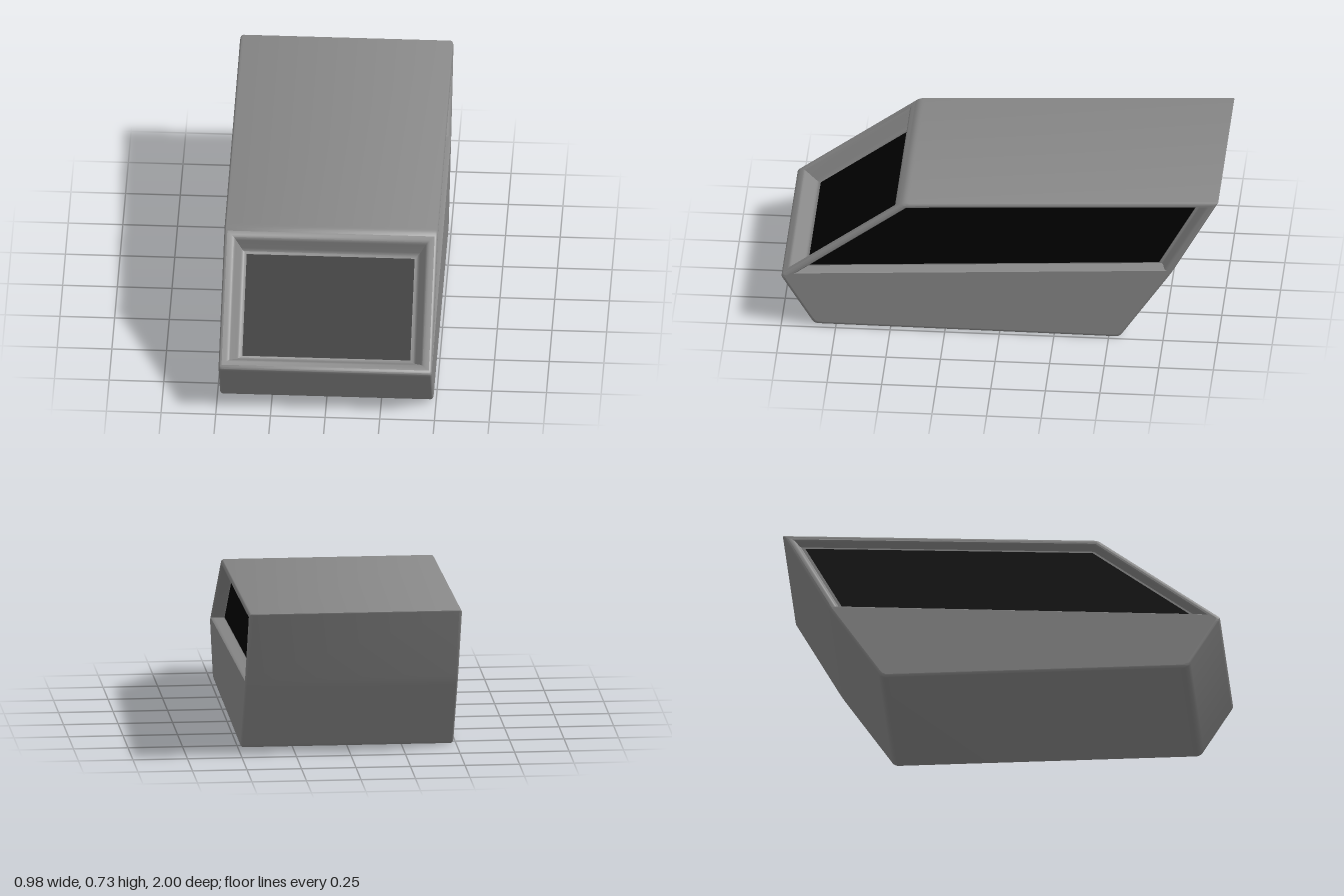
import * as THREE from 'three';
import { toCreasedNormals } from 'three/addons/utils/BufferGeometryUtils.js';

const HALF = 0.488, R = 0.014; // half width and edge rounding

// Side outline as [z, y, corner rounding]: nose, windscreen top, roof rear, rear bend, rear foot, front foot
const OUTLINE = [
  [1.004, 0.255, 0.014], [0.44, 0.662, 0.016], [-1.003, 0.728, 0.005],
  [-0.79, 0.35, 0.03], [-0.55, 0, 0.02], [0.85, 0.008, 0.02],
];
const CORNER_STEPS = 4;
const CORNER_POINTS = CORNER_STEPS + 3; // curve points plus one support point on each side

// Move every edge of a counter-clockwise convex polygon inwards by its own distance
function inset(poly, dist) {
  const n = poly.length;
  const lines = poly.map((p, i) => {
    const q = poly[(i + 1) % n];
    const dx = q[0] - p[0], dy = q[1] - p[1], l = Math.hypot(dx, dy);
    const nx = -dy / l, ny = dx / l;
    return [nx, ny, nx * p[0] + ny * p[1] + (Array.isArray(dist) ? dist[i] : dist)];
  });
  return poly.map((p, i) => {
    const [a, b, c] = lines[(i + n - 1) % n], [d, e, f] = lines[i];
    const det = a * e - b * d;
    return [(c * e - b * f) / det, (a * f - c * d) / det, p[2]];
  });
}

// Replace each corner by a short curve; support points keep the long faces flat
function rounded(poly) {
  const n = poly.length;
  return poly.flatMap((p, i) => {
    const c = new THREE.Vector2(p[0], p[1]);
    const toward = (j, f) =>
      new THREE.Vector2(poly[j % n][0], poly[j % n][1]).sub(c).setLength(p[2] * f).add(c);
    const curve = new THREE.QuadraticBezierCurve(toward(i + n - 1, 1), c, toward(i + 1, 1));
    return [toward(i + n - 1, 1.5), ...curve.getPoints(CORNER_STEPS), toward(i + 1, 1.5)]
      .map((v) => [v.x, v.y]);
  });
}

const at = (x) => ([z, y]) => new THREE.Vector3(x, y, z);

function geometry(triangles, flip) {
  const pos = [];
  for (const [a, b, c] of triangles) {
    for (const v of flip ? [a, c, b] : [a, b, c]) pos.push(v.x, v.y, v.z);
  }
  const g = new THREE.BufferGeometry();
  g.setAttribute('position', new THREE.Float32BufferAttribute(pos, 3));
  return toCreasedNormals(g, 0.65);
}

// Skin between closed rings of points
function loft(rings, flip = false, skip = () => false) {
  const tris = [], n = rings[0].length;
  for (let i = 0; i < rings.length - 1; i++) {
    for (let k = 0; k < n; k++) {
      if (skip(i, k)) continue;
      const m = (k + 1) % n;
      const a = rings[i][k], b = rings[i + 1][k], c = rings[i + 1][m], d = rings[i][m];
      tris.push([a, b, c], [a, c, d]);
    }
  }
  return geometry(tris, flip);
}

// Flat convex panel
function panel(pts, flip = false) {
  const tris = [];
  for (let i = 1; i < pts.length - 1; i++) tris.push([pts[0], pts[i], pts[i + 1]]);
  return geometry(tris, flip);
}

export function createModel() {
  const group = new THREE.Group();
  const grey = new THREE.MeshStandardMaterial({ color: 0x888888, side: THREE.DoubleSide });
  const black = new THREE.MeshStandardMaterial({ color: 0x000000, side: THREE.DoubleSide });
  const add = (name, geo, mat) => {
    const mesh = new THREE.Mesh(geo, mat);
    mesh.name = name;
    group.add(mesh);
  };

  // Shell around the outline with rounded side edges, left open at the windscreen
  const EDGE = 4;
  const sections = [];
  for (let s = 0; s <= EDGE; s++) {
    const a = (1 - s / EDGE) * Math.PI / 2;
    sections.push([HALF - R + R * Math.sin(a), R * (1 - Math.cos(a))]);
  }
  const ring = (side) => ([x, i]) => rounded(inset(OUTLINE, i)).map(at(side * x));
  const rings = [...sections.map(ring(-1)), ...sections.map(ring(1)).reverse()];
  add('bodyShell', loft(rings, false, (i, k) => i === EDGE && k === CORNER_POINTS - 1), grey);

  // Windscreen frame: rings stepping inwards [inset, depth] to a recessed pane
  const outer = rounded(OUTLINE);
  const low = at(0)(outer[CORNER_POINTS - 1]), high = at(0)(outer[CORNER_POINTS]);
  const up = high.clone().sub(low), length = up.length();
  up.normalize();
  const normal = new THREE.Vector3(1, 0, 0).cross(up);
  const screenRings = [
    [0, 0], [0.02, 0], [0.03, 0.003], [0.037, 0.009], [0.041, 0.016],
    [0.064, 0.058], [0.069, 0.065], [0.076, 0.07], [0.082, 0.072], [0.09, 0.072],
  ].map(([i, d]) => {
    const w = HALF - R - i, bottom = i * 0.8, top = length - i * 0.95;
    return [[-w, bottom], [w, bottom], [w, top], [-w, top]].map(([x, v]) =>
      low.clone().addScaledVector(up, v).addScaledVector(normal, -d).setX(x));
  });
  add('windscreenFrame', loft(screenRings, true), grey);
  add('windscreen', panel(screenRings.at(-1)), black);

  // Both sides: window frame, pane and lower panel
  const sideOutline = inset(OUTLINE, R);
  const [nose, screenTop, roofRear, rearBend] = sideOutline;
  const windowFront = nose.map((v, i) => THREE.MathUtils.lerp(v, screenTop[i], 0.035));
  const windowOutline = [windowFront, screenTop, roofRear, rearBend];
  const frameWidth = [0.034, 0.027, 0.052, 0.018];
  const lowerPanel = [nose, windowFront, rearBend,
    ...rounded(sideOutline).slice(4 * CORNER_POINTS)];
  for (const side of [1, -1]) {
    const name = side > 0 ? 'left' : 'right';
    const sideRings = [
      [0, 0], [0.25, 0], [0.38, 0.004], [0.48, 0.014],
      [0.65, 0.05], [0.75, 0.057], [1, 0.057],
    ].map(([t, d]) => inset(windowOutline, frameWidth.map((w) => w * t)).map(at(side * (HALF - d))));
    add(name + 'WindowFrame', loft(sideRings, side < 0), grey);
    add(name + 'Window', panel(sideRings.at(-1), side > 0), black);
    add(name + 'LowerPanel', panel(lowerPanel.map(at(side * HALF)), side > 0), grey);
  }
  return group;
}
